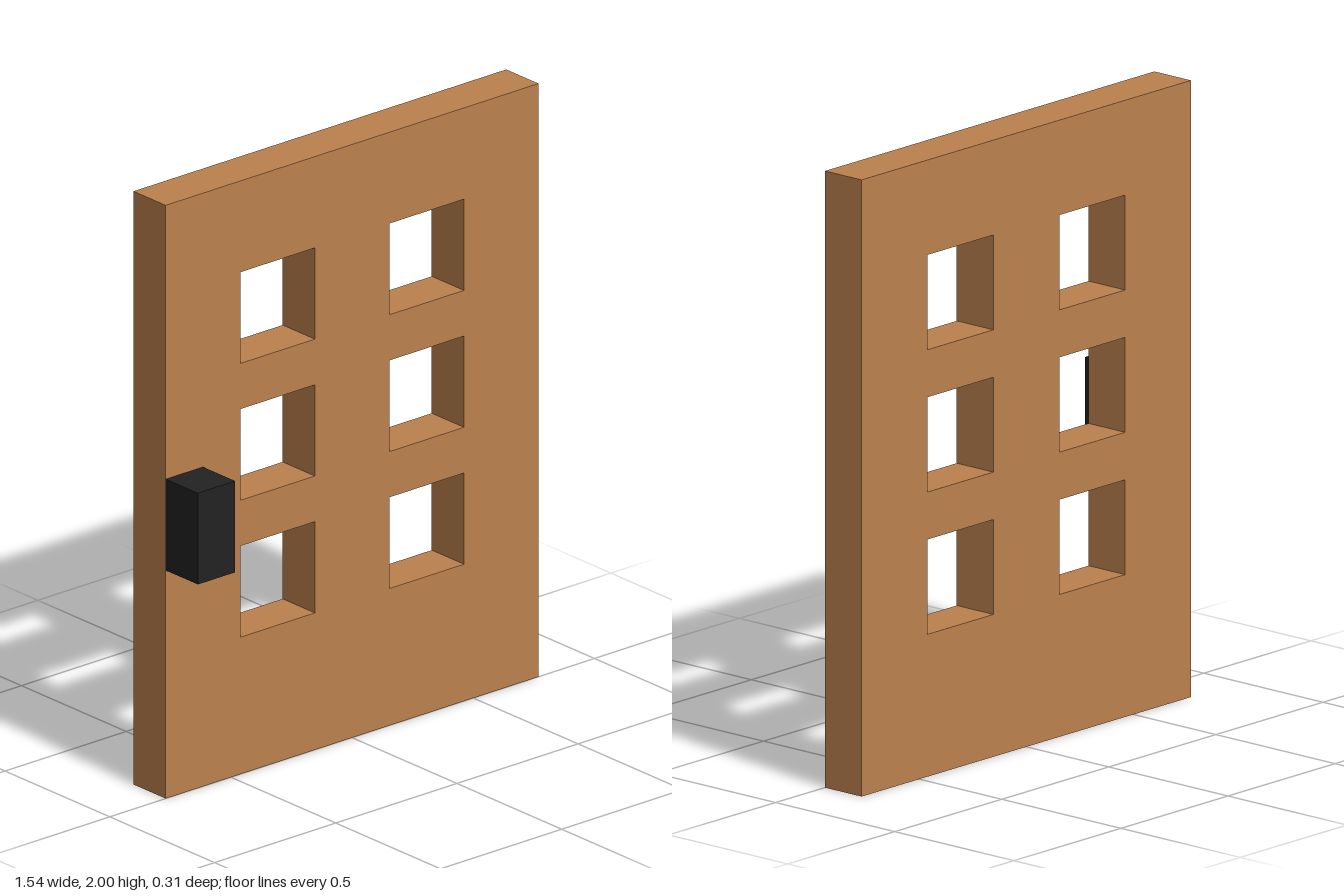
import * as THREE from 'three';

// Everything sits on a grid of 13 units to the door's height
const U = 2 / 13;

const rectangle = (path, x, y, w, h) => path
  .moveTo(x, y).lineTo(x + w, y).lineTo(x + w, y + h).lineTo(x, y + h).closePath();

export function createModel() {
  const wood = new THREE.MeshStandardMaterial({ color: 0xbc814e });
  wood.name = 'wood';
  const black = new THREE.MeshStandardMaterial({ color: 0x222222 });
  black.name = 'black';

  const door = new THREE.Group();
  door.name = 'door';

  // Door slab with two columns of three square openings
  const outline = new THREE.Shape();
  rectangle(outline, -5 * U, 0, 10 * U, 13 * U);
  for (const x of [-3, 1]) {
    for (const y of [3, 6, 9]) {
      const opening = new THREE.Path();
      rectangle(opening, x * U, y * U, 2 * U, 2 * U);
      outline.holes.push(opening);
    }
  }
  const panel = new THREE.Mesh(
    new THREE.ExtrudeGeometry(outline, { depth: U, bevelEnabled: false }), wood);
  panel.name = 'doorPanel';
  panel.position.z = -U;
  door.add(panel);

  // Block handle on the front face
  const handle = new THREE.Mesh(new THREE.BoxGeometry(U, 2 * U, U), black);
  handle.name = 'handle';
  handle.position.set(-4.5 * U, 6 * U, 0.5 * U);
  door.add(handle);

  return door;
}
